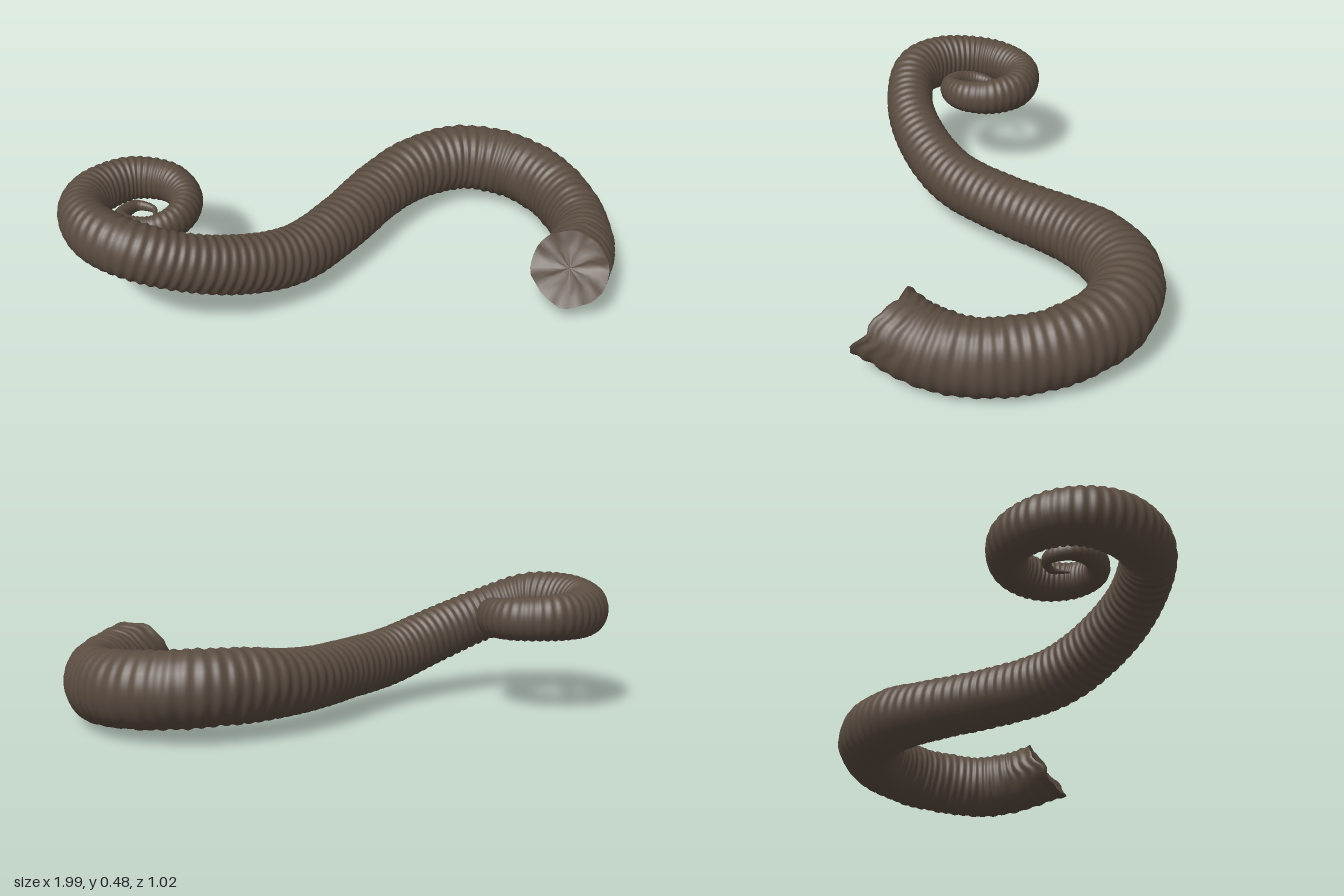
import * as THREE from 'three';

// centreline from the cut base to the curled tip: x, y, z, half width, half height
const PATH = [
  [0.735, 0.18, 0.405, 0.135, 0.125],
  [0.82, 0.15, 0.29, 0.12, 0.13],
  [0.88, 0.135, 0.15, 0.105, 0.13],
  [0.89, 0.14, 0, 0.102, 0.13],
  [0.86, 0.15, -0.15, 0.108, 0.13],
  [0.75, 0.165, -0.31, 0.118, 0.13],
  [0.57, 0.177, -0.385, 0.122, 0.13],
  [0.37, 0.175, -0.345, 0.117, 0.125],
  [0.19, 0.162, -0.23, 0.112, 0.112],
  [0, 0.16, -0.04, 0.105, 0.108],
  [-0.2, 0.175, 0.13, 0.1, 0.108],
  [-0.4, 0.235, 0.23, 0.096, 0.105],
  [-0.6, 0.305, 0.27, 0.09, 0.102],
  [-0.78, 0.365, 0.235, 0.09, 0.105],
  [-0.885, 0.37, 0.12, 0.086, 0.105],
  [-0.913, 0.365, -0.02, 0.081, 0.095],
  [-0.86, 0.36, -0.135, 0.075, 0.088],
  [-0.73, 0.355, -0.205, 0.068, 0.082],
  [-0.6, 0.347, -0.16, 0.062, 0.076],
  [-0.553, 0.34, -0.05, 0.058, 0.07],
  [-0.59, 0.335, 0.055, 0.049, 0.062],
  [-0.68, 0.33, 0.1, 0.04, 0.052],
  [-0.765, 0.325, 0.055, 0.033, 0.042],
  [-0.785, 0.32, -0.02, 0.026, 0.032],
  [-0.73, 0.315, -0.082, 0.018, 0.022],
  [-0.67, 0.312, -0.05, 0.011, 0.013],
  [-0.675, 0.31, 0.01, 0.003, 0.003],
];
const RINGS = 900, SIDES = 32;

// smooth irregular bumps, roughly -1 to 1
const bump = (s, a) =>
  (Math.sin(s * 37 + 2 * Math.sin(a * 2 + s * 5)) + Math.sin(s * 83 + a * 3) + Math.sin(s * 19 - a * 5)) / 3;

// cross-sections swept along the path; the base ring is slanted and ragged
function buildSections() {
  const curve = new THREE.CatmullRomCurve3(PATH.map(p => new THREE.Vector3(p[0], p[1], p[2])));
  const sizes = new THREE.CatmullRomCurve3(
    PATH.map(p => new THREE.Vector3(p[3], p[4], 0)), false, 'catmullrom', 0.5);
  curve.arcLengthDivisions = 1000;
  const length = curve.getLength(), step = length / RINGS;
  const up = new THREE.Vector3(0, 1, 0);
  const sections = [];
  let phase = 0;
  for (let i = 0; i <= RINGS; i++) {
    const t = curve.getUtoTmapping(i / RINGS), s = i * step;
    const centre = curve.getPoint(t), tangent = curve.getTangent(t), size = sizes.getPoint(t);
    const side = new THREE.Vector3().crossVectors(up, tangent).normalize();
    const top = new THREE.Vector3().crossVectors(tangent, side);
    phase += 2 * Math.PI * step / (0.01 + 0.25 * size.x);
    const rough = Math.min(1, Math.max(0.15, 1.3 - s / 2));
    const cut = Math.max(0, 1 - s / 0.2);
    const ring = [];
    for (let j = 0; j < SIDES; j++) {
      const a = j / SIDES * Math.PI * 2;
      const ridge = 1 + (0.03 - 0.012 * rough) * Math.sin(phase + 0.5 * Math.sin(a * 2)) + 0.025 * rough * bump(s, a);
      const slant = cut * (0.045 * Math.sin(a) - 0.01 + 0.008 * Math.sin(a * 5) + 0.006 * Math.sin(a * 9 + 1));
      ring.push(centre.clone()
        .addScaledVector(side, Math.cos(a) * size.x * ridge)
        .addScaledVector(top, Math.sin(a) * size.y * ridge)
        .addScaledVector(tangent, slant));
    }
    sections.push(ring);
  }
  return sections;
}

// joins successive rings; normals stay smooth because vertices are shared
function skin(rings, closeEnd) {
  const positions = [], index = [];
  for (const ring of rings) for (const p of ring) positions.push(p.x, p.y, p.z);
  for (let i = 0; i < rings.length - 1; i++) {
    for (let j = 0; j < SIDES; j++) {
      const k = (j + 1) % SIDES;
      const a = i * SIDES + j, b = i * SIDES + k, c = a + SIDES, d = b + SIDES;
      index.push(a, b, c, b, d, c);
    }
  }
  if (closeEnd) {
    const last = rings[rings.length - 1], base = (rings.length - 1) * SIDES;
    const mid = last.reduce((m, p) => m.add(p), new THREE.Vector3()).divideScalar(SIDES);
    positions.push(mid.x, mid.y, mid.z);
    for (let j = 0; j < SIDES; j++) index.push(base + j, base + (j + 1) % SIDES, base + SIDES);
  }
  const geometry = new THREE.BufferGeometry();
  geometry.setAttribute('position', new THREE.Float32BufferAttribute(positions, 3));
  geometry.setIndex(index);
  geometry.computeVertexNormals();
  return geometry;
}

export function createModel() {
  const model = new THREE.Group();
  model.name = 'curledHorn';
  const brown = new THREE.MeshStandardMaterial({ color: 0x5a4c40 });
  brown.name = 'darkBrown';

  const sections = buildSections();
  const body = new THREE.Mesh(skin(sections, true), brown);
  body.name = 'ridgedBody';

  // rough broken face closing the base, shrinking from the rim to the middle
  const rim = sections[0];
  const mid = rim.reduce((m, p) => m.add(p), new THREE.Vector3()).divideScalar(SIDES);
  const inward = new THREE.Vector3(0.58, 0, -0.81);
  const faceRings = [0.02, 0.25, 0.5, 0.75, 1].map((f, n) => rim.map((p, j) => {
    const dent = n === 4 ? 0 : 0.006 * Math.sin(j * 1.7 + n * 2.3) * f + 0.006;
    return mid.clone().lerp(p, f).addScaledVector(inward, dent);
  }));
  const face = new THREE.Mesh(skin(faceRings.reverse(), true), brown);
  // the face looks away from the body, so its triangles are turned round
  const order = face.geometry.index.array;
  for (let i = 0; i < order.length; i += 3) [order[i], order[i + 1]] = [order[i + 1], order[i]];
  face.geometry.computeVertexNormals();
  face.name = 'brokenBase';

  model.add(body, face);
  return model;
}
